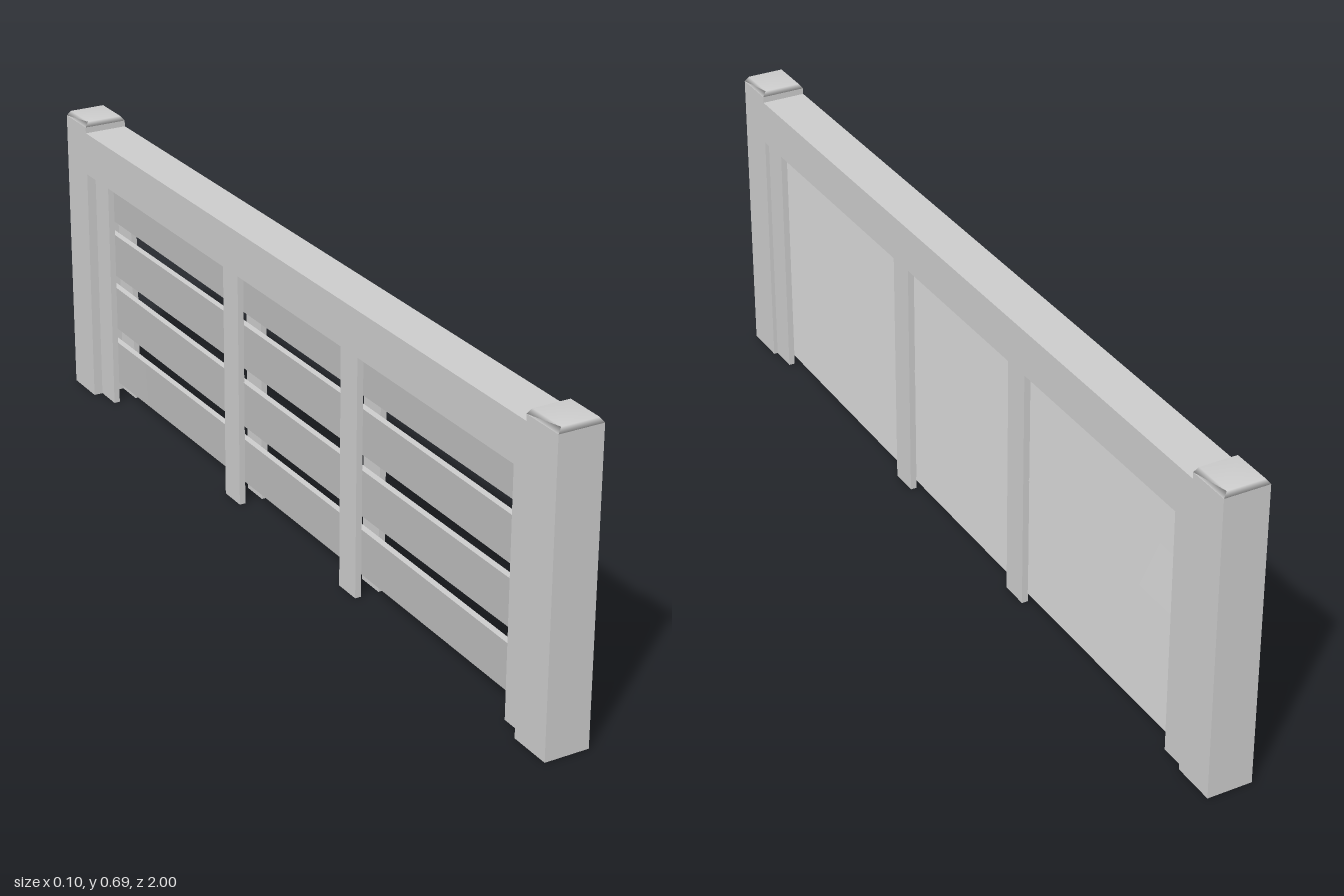
import * as THREE from 'three';
import { mergeVertices } from 'three/addons/utils/BufferGeometryUtils.js';

export function createModel() {
  const model = new THREE.Group();
  const paint = new THREE.MeshStandardMaterial({ color: 0xcccccc });
  paint.name = 'light grey paint';

  const add = (name, geometry) => {
    const mesh = new THREE.Mesh(geometry, paint);
    mesh.name = name;
    model.add(mesh);
    return mesh;
  };

  // Box given by its lower and upper limits on each axis
  const block = (name, [x0, x1], [y0, y1], [z0, z1]) =>
    add(name, new THREE.BoxGeometry(x1 - x0, y1 - y0, z1 - z0))
      .position.set((x0 + x1) / 2, (y0 + y1) / 2, (z0 + z1) / 2);

  // Softly shaded bevelled cap: the top of a box drawn inwards
  const capGeometry = () => {
    let g = new THREE.BoxGeometry(0.1, 0.011, 0.1);
    const p = g.attributes.position;
    for (let i = 0; i < p.count; i++) {
      if (p.getY(i) > 0) p.setXYZ(i, p.getX(i) * 0.83, p.getY(i), p.getZ(i) * 0.9);
    }
    g.deleteAttribute('normal');
    g.deleteAttribute('uv');
    g = mergeVertices(g);
    g.computeVertexNormals();
    return g;
  };

  // End posts with caps
  for (const s of [1, -1]) {
    const post = s > 0 ? 'leftEnd' : 'rightEnd';
    block(post + 'Post', [-0.05, 0.05], [0, 0.674], [s * 0.95 - 0.05, s * 0.95 + 0.05]);
    add(post + 'Cap', capGeometry()).position.set(0, 0.6795, s * 0.95);
  }

  // Top rail
  block('topRail', [-0.05, 0.05], [0.56, 0.66], [-0.9, 0.9]);

  // Pairs of battens holding the boards from both sides
  const spans = [[0.835, 0.9], [0.215, 0.28], [-0.28, -0.215], [-0.9, -0.835]];
  for (const span of spans) {
    block('outerBatten', [0.027, 0.041], [0, 0.56], span);
    block('innerBatten', [-0.029, -0.015], [0, 0.56], span);
  }

  // Slanted boards, lower edge towards +x, each slightly bowed along its length
  const boards = [
    [0.022, 0.152, 0.003], [0.163, 0.292, -0.003],
    [0.298, 0.424, 0.003], [0.435, 0.562, -0.002],
  ];
  for (const [y0, y1, bow] of boards) {
    const h = y1 - y0;
    const g = new THREE.BoxGeometry(0.014, h, 1.8, 1, 1, 12);
    const p = g.attributes.position;
    for (let i = 0; i < p.count; i++) {
      const slant = -0.026 * p.getY(i) / h;
      p.setX(i, p.getX(i) + slant + bow * Math.cos(p.getZ(i) * Math.PI / 1.8));
    }
    g.computeVertexNormals();
    add('board', g).position.set(0.006, (y0 + y1) / 2, 0);
  }

  return model;
}
